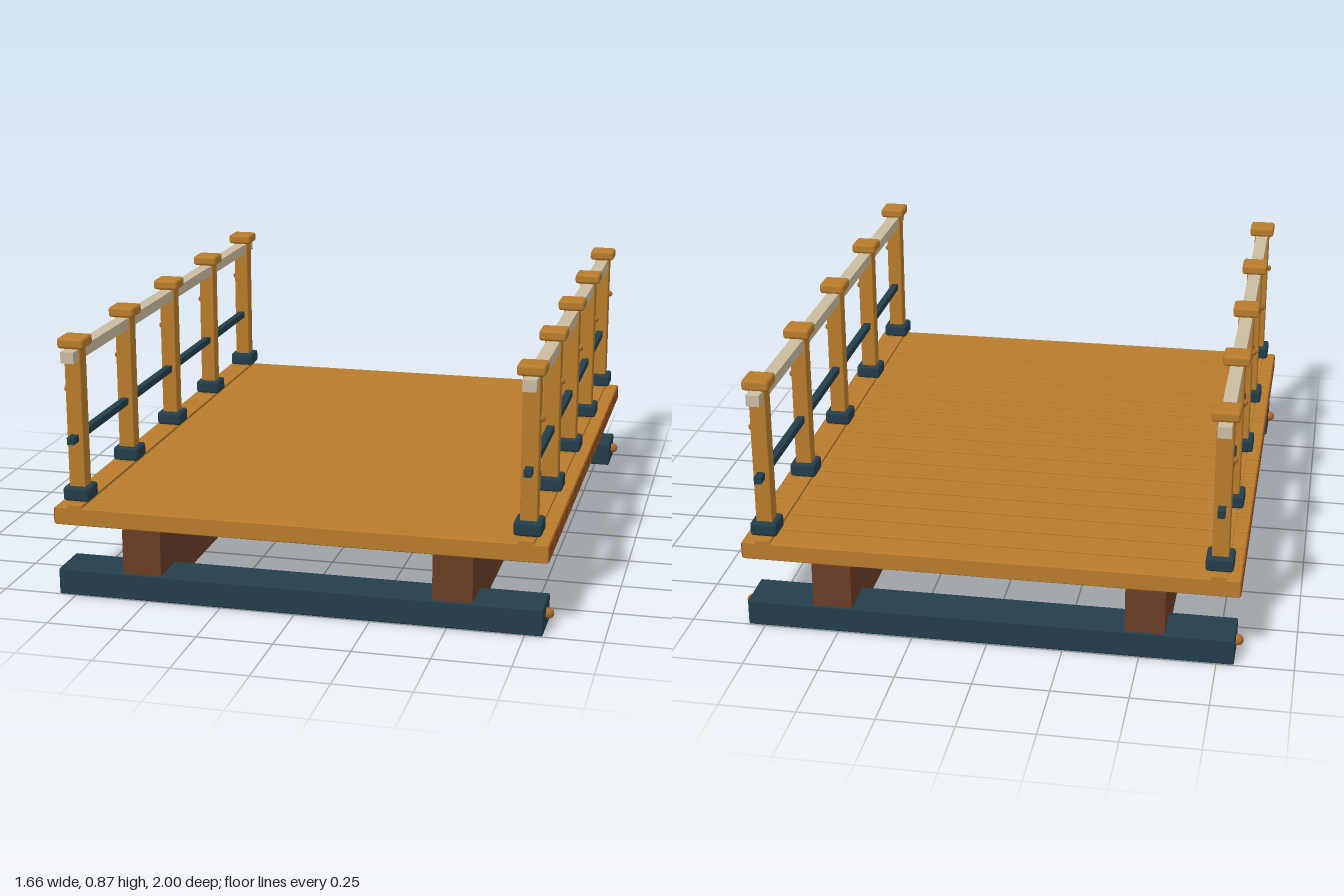
import * as THREE from 'three';
import { RoundedBoxGeometry } from 'three/addons/geometries/RoundedBoxGeometry.js';

const mat = (name, color) => {
  const m = new THREE.MeshStandardMaterial({ color });
  m.name = name;
  return m;
};

export function createModel() {
  const wood = mat('oak', 0xb87c2c);
  const endGrain = mat('end grain', 0x93501f);
  const timber = mat('dark timber', 0x6a3c25);
  const steel = mat('blue steel', 0x233e4c);
  const rope = mat('pale rail', 0xc9bb9f);
  const bronze = mat('bronze', 0xa9682c);

  const model = new THREE.Group();
  model.name = 'footbridge';

  const add = (parent, name, geo, material, x, y, z) => {
    const mesh = new THREE.Mesh(geo, material);
    mesh.name = name;
    mesh.position.set(x, y, z);
    parent.add(mesh);
    return mesh;
  };
  // Box given by its size, with an optional softened edge
  const box = (w, h, d, r = 0) =>
    r ? new RoundedBoxGeometry(w, h, d, 2, r) : new THREE.BoxGeometry(w, h, d);

  // Deck planks with end-grain plates
  const count = 17, pitch = 1.988 / count;
  const plankGeo = box(1.634, 0.06, pitch - 0.008, 0.004);
  const plateGeo = box(0.006, 0.05, pitch - 0.012);
  for (let i = 0; i < count; i++) {
    const z = (i - (count - 1) / 2) * pitch;
    const plank = new THREE.Group();
    plank.name = 'plank';
    model.add(plank);
    add(plank, 'plankBoard', plankGeo, wood, 0, 0.27, z);
    for (const s of [-1, 1]) add(plank, 'plankEnd', plateGeo, endGrain, s * 0.817, 0.27, z);
  }

  // Long beams under the deck
  for (const s of [-1, 1])
    add(model, 'longBeam', box(0.13, 0.225, 1.99), timber, s * 0.517, 0.1275, 0);

  // Steel cross sills with a bolt at each end
  const boltGeo = new THREE.SphereGeometry(0.018, 16, 12);
  for (const sz of [-1, 1]) {
    add(model, 'crossSill', box(1.614, 0.09, 0.154, 0.006), steel, 0, 0.045, sz * 0.923);
    for (const sx of [-1, 1])
      add(model, 'sillBolt', boltGeo, bronze, sx * 0.814, 0.052, sz * 0.923);
  }

  // Railings, one on each side
  const postGeo = box(0.055, 0.54, 0.055, 0.004);
  const shoeGeo = box(0.09, 0.048, 0.09, 0.01);
  const capGeo = box(0.09, 0.036, 0.09, 0.01);
  const studGeo = new THREE.SphereGeometry(0.011, 12, 8);
  for (const s of [-1, 1]) {
    const railing = new THREE.Group();
    railing.name = s > 0 ? 'leftRailing' : 'rightRailing';
    model.add(railing);
    const x = s * 0.747;
    add(railing, 'kerbStrip', box(0.05, 0.012, 1.98), wood, x, 0.303, 0);
    add(railing, 'handRail', box(0.044, 0.038, 1.998), rope, x, 0.81, 0);
    add(railing, 'lowerRail', box(0.024, 0.024, 1.998), steel, x, 0.531, 0);
    for (let i = -2; i <= 2; i++) {
      const z = i * 0.464;
      add(railing, 'post', postGeo, wood, x, 0.57, z);
      add(railing, 'postShoe', shoeGeo, steel, x, 0.341, z);
      add(railing, 'postCap', capGeo, wood, x, 0.85, z);
      add(railing, 'postStud', studGeo, bronze, s * 0.778, 0.69, z);
    }
  }
  return model;
}
